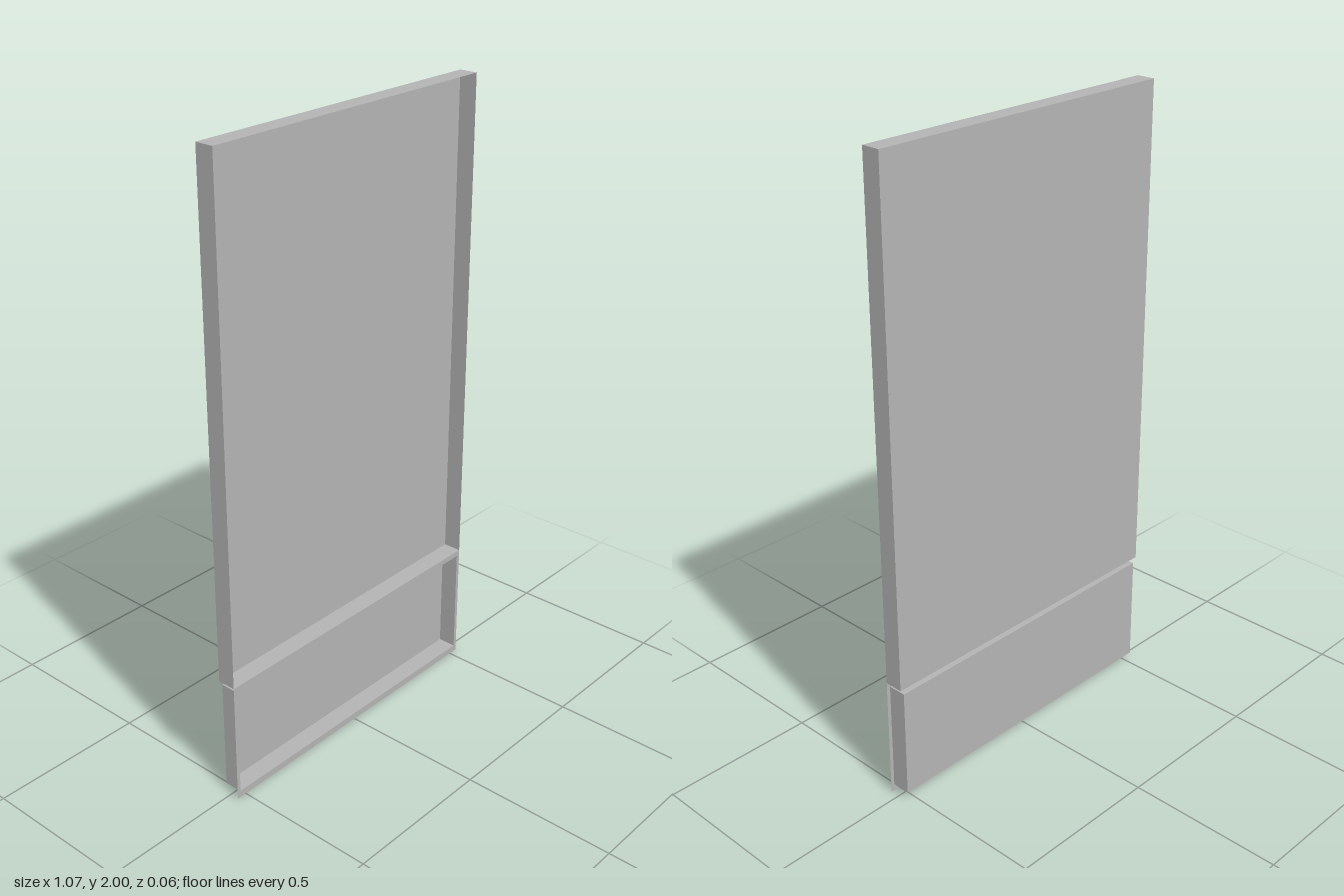
import * as THREE from 'three';

const HALF_DEPTH = 0.03;

// Thin-walled tray: a box whose front (+z) side is left open
function openTray(halfWidth, bottom, top) {
  const geometry = new THREE.BoxGeometry(halfWidth * 2, top - bottom, HALF_DEPTH * 2);
  const frontStart = geometry.groups[4].start;
  const index = Array.from(geometry.index.array);
  index.splice(frontStart, 6);
  geometry.setIndex(index);
  geometry.clearGroups();
  geometry.translate(0, (bottom + top) / 2, 0);
  return geometry;
}

// Flat rectangular rim lying in the front plane
function flatRim(outerHalf, outerBottom, outerTop, innerHalf, innerBottom, innerTop) {
  const rectangle = (target, half, bottom, top) => {
    target.moveTo(-half, bottom);
    target.lineTo(half, bottom);
    target.lineTo(half, top);
    target.lineTo(-half, top);
    target.closePath();
    return target;
  };
  const shape = rectangle(new THREE.Shape(), outerHalf, outerBottom, outerTop);
  shape.holes.push(rectangle(new THREE.Path(), innerHalf, innerBottom, innerTop));
  return new THREE.ShapeGeometry(shape).translate(0, 0, HALF_DEPTH);
}

export function createModel() {
  const group = new THREE.Group();
  group.name = 'panel';
  const grey = new THREE.MeshStandardMaterial({ color: 0xb4b4b4, side: THREE.DoubleSide });
  grey.name = 'grey';

  const add = (name, geometry) => {
    const mesh = new THREE.Mesh(geometry, grey);
    mesh.name = name;
    group.add(mesh);
  };

  // Tall upper tray
  add('upperPanel', openTray(0.533, 0.398, 2));
  // Short, slightly narrower lower tray with its front rim
  add('lowerPanel', openTray(0.521, 0.022, 0.38));
  add('lowerRim', flatRim(0.533, 0, 0.398, 0.521, 0.022, 0.38));

  return group;
}
